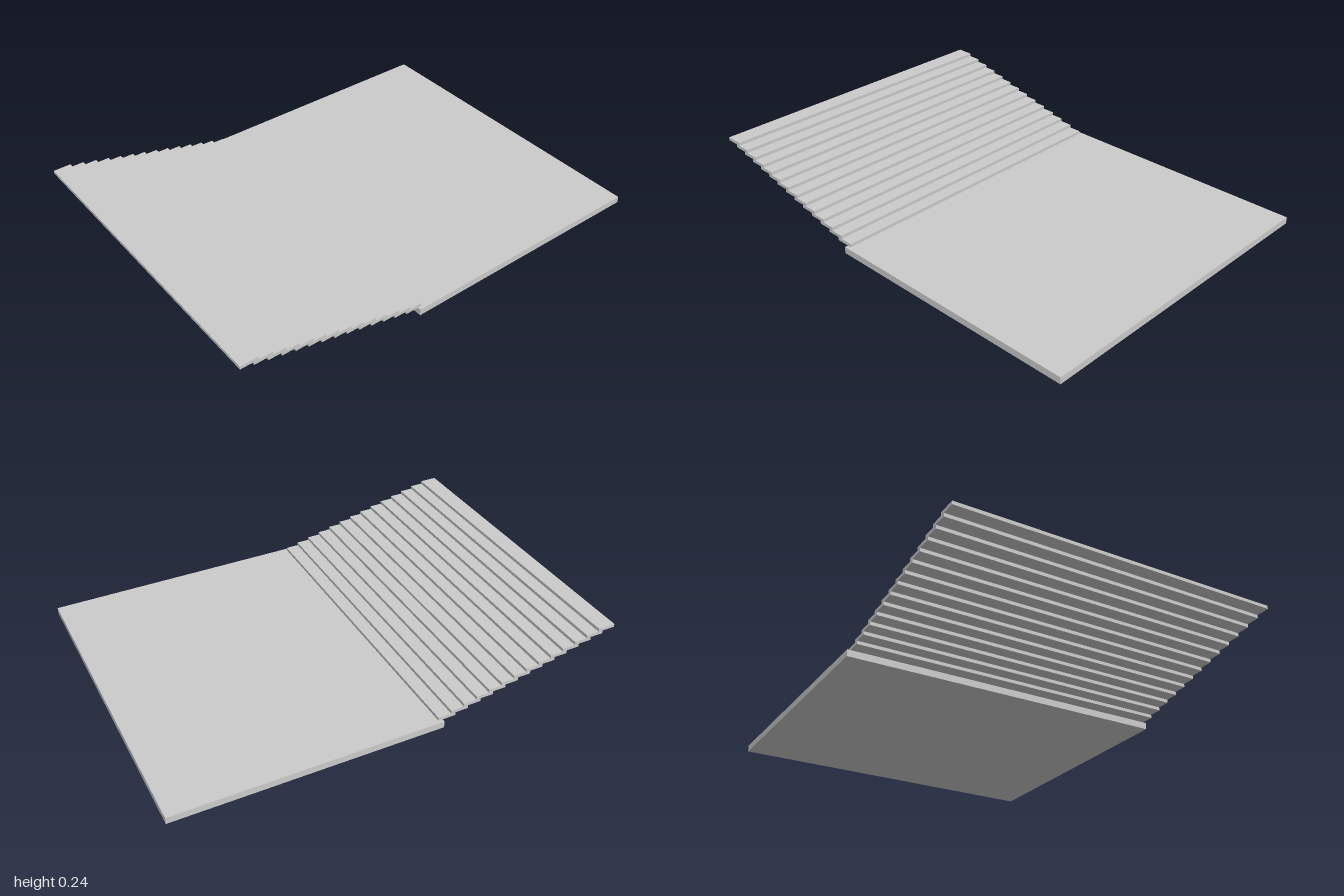
import * as THREE from 'three';

export function createModel() {
  const group = new THREE.Group();
  const material = new THREE.MeshStandardMaterial({ color: 0xcccccc, flatShading: true });

  // Box placed by its bottom and its back edge
  function slab(name, width, height, depth, bottom, back) {
    const mesh = new THREE.Mesh(new THREE.BoxGeometry(width, height, depth), material);
    mesh.name = name;
    mesh.position.set(0, bottom + height / 2, back + depth / 2);
    group.add(mesh);
  }

  // Flat floor plate
  const floorTop = 0.03;
  slab('floorPlate', 1.468, floorTop, 1.176, 0, -1);

  // Overlapping treads rising towards the front
  const count = 14, rise = 0.0147, run = 0.0588, depth = 0.079;
  const firstBack = 1 - depth - run * (count - 1);
  for (let i = 0; i < count; i++) {
    slab(`tread${i + 1}`, 1.438, rise, depth, floorTop + i * rise, firstBack + i * run);
  }
  return group;
}
